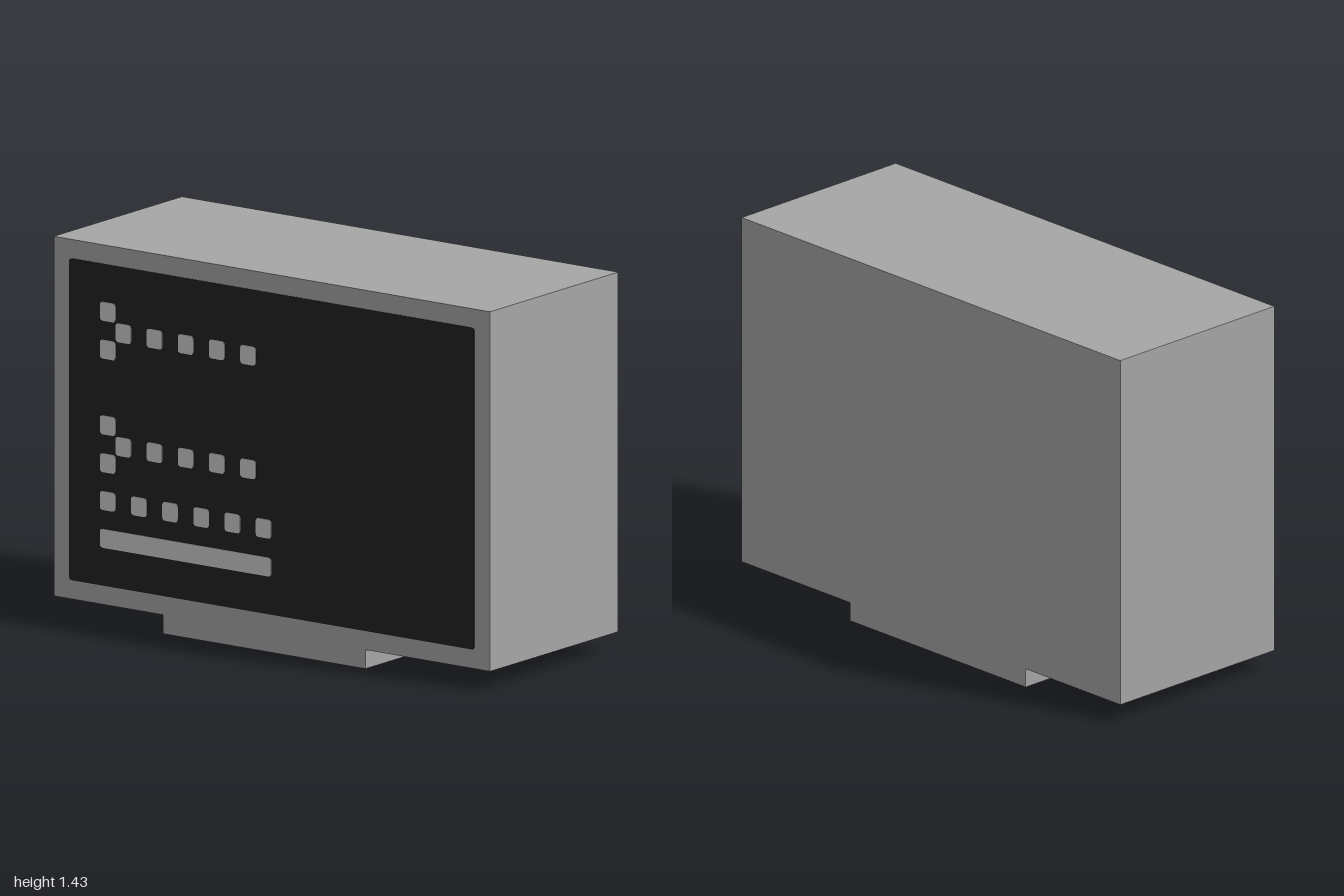
import * as THREE from 'three';

const U = 1 / 14; // grid cell that every part snaps to
const DEPTH = 11 * U;
const FRONT = DEPTH / 2;

const flat = (name, color) => {
  const m = new THREE.MeshStandardMaterial({ color });
  m.name = name;
  return m;
};

export function createModel() {
  const casing = flat('casingGrey', 0xa6a6a6);
  const black = flat('screenBlack', 0x222222);
  const light = flat('textGrey', 0xcdcdcd);
  const model = new THREE.Group();
  model.name = 'computerTerminal';

  // Casing and base share one depth; sizes are in cells
  const block = (name, x0, x1, y0, y1) => {
    const mesh = new THREE.Mesh(new THREE.BoxGeometry((x1 - x0) * U, (y1 - y0) * U, DEPTH), casing);
    mesh.position.set(((x0 + x1) / 2) * U, ((y0 + y1) / 2) * U, 0);
    mesh.name = name;
    model.add(mesh);
  };
  block('casing', -14, 14, 1, 20);
  block('base', -7, 6, 0, 1);

  // Thin plate with slightly rounded corners
  const plate = (parent, name, material, x, y, w, h, z) => {
    const r = 0.014, W = w * U, H = h * U;
    const s = new THREE.Shape();
    s.moveTo(r, 0);
    s.lineTo(W - r, 0).quadraticCurveTo(W, 0, W, r);
    s.lineTo(W, H - r).quadraticCurveTo(W, H, W - r, H);
    s.lineTo(r, H).quadraticCurveTo(0, H, 0, H - r);
    s.lineTo(0, r).quadraticCurveTo(0, 0, r, 0);
    const geo = new THREE.ExtrudeGeometry(s, { depth: 0.002, bevelEnabled: false, curveSegments: 4 });
    const mesh = new THREE.Mesh(geo, material);
    mesh.position.set(x * U, y * U, z);
    mesh.name = name;
    parent.add(mesh);
  };
  plate(model, 'screen', black, -13, 2, 26, 17, FRONT);

  // Marks on the screen
  const marks = new THREE.Group();
  marks.name = 'screenMarks';
  model.add(marks);
  const mark = (name, x, y, w = 1) => plate(marks, name, light, x, y, w, 1, FRONT + 0.002);

  // Two prompt lines: an arrow followed by four dots
  for (const row of [15, 9]) {
    mark('promptArrow', -11, row + 1);
    mark('promptArrow', -10, row);
    mark('promptArrow', -11, row - 1);
    for (let x = -8; x <= -2; x += 2) mark('promptDot', x, row);
  }
  // Dotted line and solid bar
  for (let x = -11; x <= -1; x += 2) mark('lineDot', x, 6);
  mark('solidBar', -11, 4, 11);

  return model;
}
